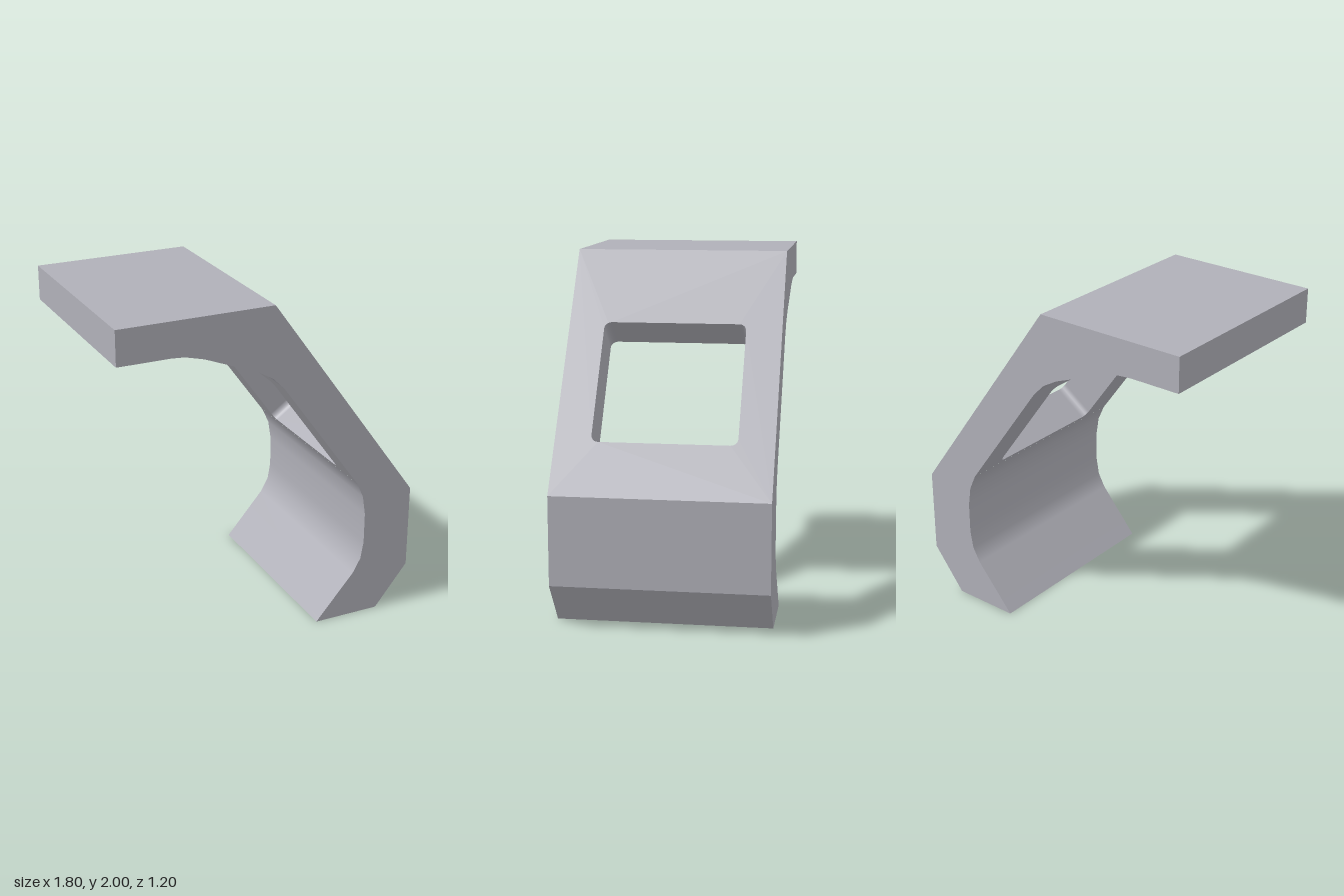
import * as THREE from 'three';

const HALF = 0.6; // half width of the bracket
const V = (x, y) => new THREE.Vector2(x, y);

// Bracket cross-section, counter-clockwise
const outline = [
  [0.3, 0], [0.7, 0], [0.9, 0.25], [0.9, 0.75], [0, 2], [-0.9, 2], [-0.9, 1.8], // outside
  [-0.6, 1.8], [-0.52, 1.794], [-0.41, 1.765],   // bend under the top shelf
  [-0.1, 1.642], [-0.01, 1.59], [0.06, 1.52],    // bend into the slope
  [0.54, 0.853], [0.582, 0.76], [0.6, 0.645],    // bend into the upright
  [0.6, 0.46], [0.582, 0.357], [0.535, 0.272],   // bend into the foot
].map(([x, y]) => V(x, y));
const OUTER_SLOPE = 3, INNER_SLOPE = 12; // edges replaced by panels with a window

// Sweeps a closed outline along z; shallow bends are smooth, sharp corners stay sharp
function sweepWalls(pts, z0, z1, skip = []) {
  const n = pts.length;
  const edges = pts.map((p, i) => {
    const d = pts[(i + 1) % n].clone().sub(p);
    const length = d.length();
    return { normal: V(d.y / length, -d.x / length), weight: length * length };
  });
  const blend = (a, b) => (a.normal.dot(b.normal) < Math.cos(0.5) ? a.normal
    : a.normal.clone().multiplyScalar(a.weight).addScaledVector(b.normal, b.weight).normalize());
  const position = [], normal = [];
  pts.forEach((p, i) => {
    if (skip.includes(i)) return;
    const q = pts[(i + 1) % n];
    const np = blend(edges[i], edges[(i + n - 1) % n]);
    const nq = blend(edges[i], edges[(i + 1) % n]);
    const a = [p, z0, np], b = [q, z0, nq], c = [q, z1, nq], d = [p, z1, np];
    for (const [v, z, m] of [a, b, c, a, c, d]) {
      position.push(v.x, v.y, z);
      normal.push(m.x, m.y, 0);
    }
  });
  const g = new THREE.BufferGeometry();
  g.setAttribute('position', new THREE.Float32BufferAttribute(position, 3));
  g.setAttribute('normal', new THREE.Float32BufferAttribute(normal, 3));
  return g;
}

// Rounded rectangle for the window
function windowPoints(w, h, r) {
  const pts = [];
  [[1, 1], [-1, 1], [-1, -1], [1, -1]].forEach(([sx, sy], k) => {
    for (let i = 0; i <= 6; i++) {
      const a = (k + i / 6) * Math.PI / 2;
      pts.push(V(sx * (w - r) + r * Math.cos(a), sy * (h - r) + r * Math.sin(a)));
    }
  });
  return pts;
}

export function createModel() {
  const model = new THREE.Group();
  model.name = 'bracket';
  const grey = new THREE.MeshStandardMaterial({ color: 0xb0b0b8 });
  grey.name = 'light grey';
  const add = (parent, name, geometry) => {
    const mesh = new THREE.Mesh(geometry, grey);
    mesh.name = name;
    parent.add(mesh);
    return mesh;
  };

  // Flat side faces
  const profile = new THREE.Shape(outline);
  add(model, 'frontSide', new THREE.ShapeGeometry(profile).translate(0, 0, HALF));
  add(model, 'backSide', new THREE.ShapeGeometry(profile).scale(1, 1, -1).translate(0, 0, -HALF));
  const back = model.children[1].geometry;
  back.index.array.reverse();
  for (let i = 0; i < back.attributes.normal.count; i++) back.attributes.normal.setXYZ(i, 0, 0, -1);

  // All walls except the two sloping faces
  add(model, 'shell', sweepWalls(outline, -HALF, HALF, [OUTER_SLOPE, INNER_SLOPE]));

  // Sloping section: local x runs up the slope, y across the width, z outward
  const slope = new THREE.Group();
  slope.name = 'slopingSection';
  const low = outline[3], high = outline[4];
  const up = high.clone().sub(low).normalize();
  const out = V(up.y, -up.x);
  const centre = V(0.495, 1.3125);
  slope.quaternion.setFromRotationMatrix(new THREE.Matrix4().makeBasis(
    new THREE.Vector3(up.x, up.y, 0), new THREE.Vector3(0, 0, 1), new THREE.Vector3(out.x, out.y, 0)));
  slope.position.set(centre.x, centre.y, 0);
  model.add(slope);

  const along = (p) => p.clone().sub(centre).dot(up);
  const depth = -outline[12].clone().sub(centre).dot(out);
  const hole = windowPoints(0.369, 0.4, 0.04);
  const panel = (a, b) => {
    const s = new THREE.Shape([V(a, -HALF), V(b, -HALF), V(b, HALF), V(a, HALF)]);
    s.holes.push(new THREE.Path(hole));
    return new THREE.ShapeGeometry(s);
  };
  add(slope, 'outerPanel', panel(along(low), along(high)));
  add(slope, 'innerPanel', panel(along(outline[13]), along(outline[12]))
    .rotateX(Math.PI).translate(0, 0, -depth));
  add(slope, 'windowWalls', sweepWalls(hole.slice().reverse(), -depth, 0));

  return model;
}
